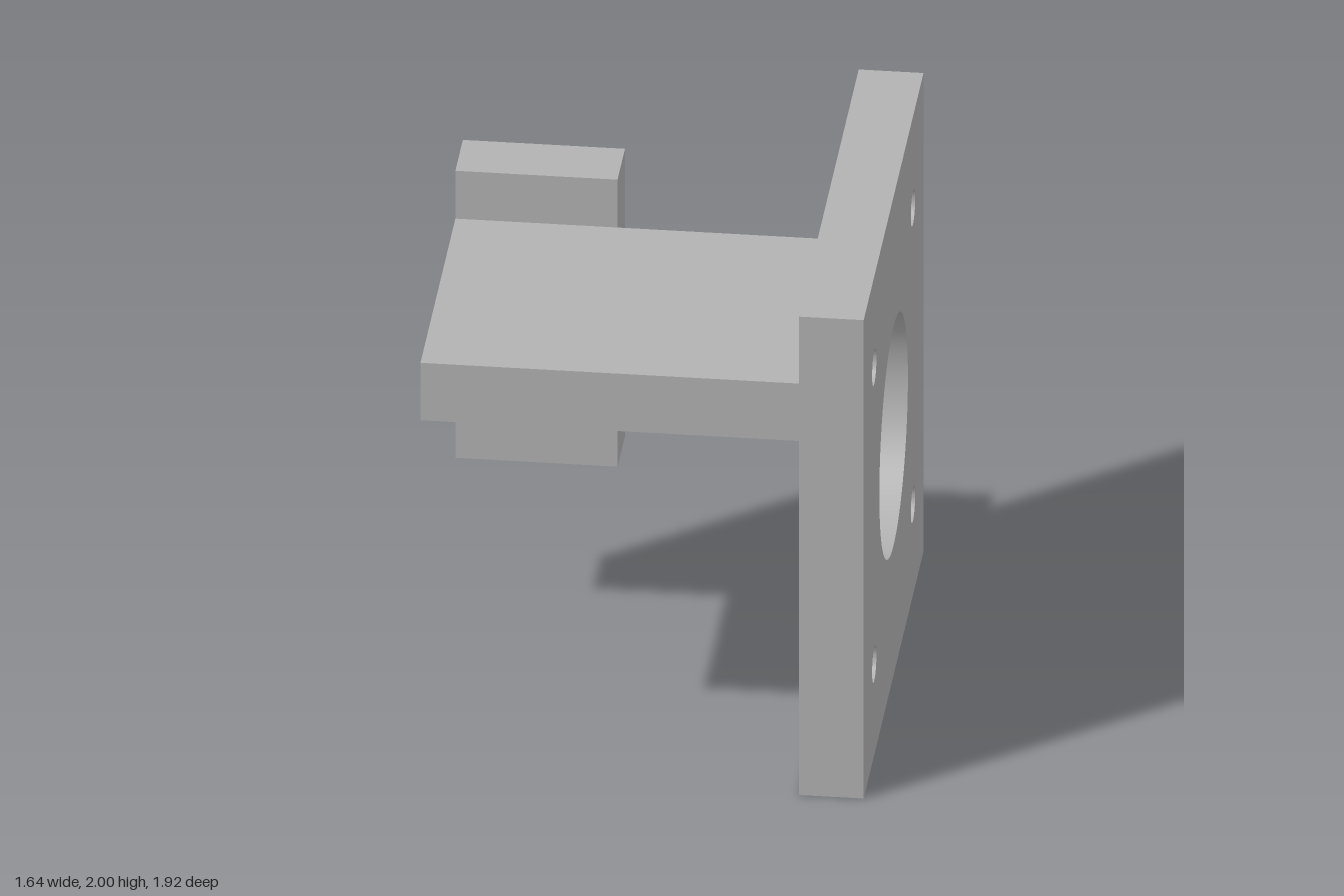
import * as THREE from 'three';
import { toCreasedNormals } from 'three/addons/utils/BufferGeometryUtils.js';

export function createModel() {
  const model = new THREE.Group();
  model.name = 'motorBracket';
  const grey = new THREE.MeshStandardMaterial({ color: 0xb2b2b2 });
  grey.name = 'grey';

  const add = (name, geometry) => {
    const mesh = new THREE.Mesh(geometry, grey);
    mesh.name = name;
    model.add(mesh);
    return mesh;
  };

  // Box given by its lower and upper corners
  const block = (name, [x0, y0, z0], [x1, y1, z1]) =>
    add(name, new THREE.BoxGeometry(x1 - x0, y1 - y0, z1 - z0))
      .position.set((x0 + x1) / 2, (y0 + y1) / 2, (z0 + z1) / 2);

  // Mounting plate with a central bore and four bolt holes
  const plate = new THREE.Shape();
  plate.moveTo(-0.96, -1).lineTo(0.96, -1).lineTo(0.96, 1).lineTo(-0.96, 1).closePath();
  const drill = (u, v, r) =>
    plate.holes.push(new THREE.Path().absarc(u, v, r, 0, Math.PI * 2, true));
  drill(0, 0, 0.458);
  for (const u of [-0.62, 0.62]) for (const v of [-0.62, 0.62]) drill(u, v, 0.07);

  const plateGeometry = new THREE.ExtrudeGeometry(plate, {
    depth: 0.24, bevelEnabled: false, curveSegments: 32,
  });
  plateGeometry.rotateY(Math.PI / 2);
  add('mountingPlate', toCreasedNormals(plateGeometry, 0.5)).position.set(0.58, 1, 0);

  // Horizontal shelf and the upright tab behind its far end
  block('shelf', [-0.82, 1.48, -0.16], [0.58, 1.72, 0.96]);
  block('uprightTab', [-0.82, 0.72, -0.4], [-0.22, 1.92, -0.16]);

  return model;
}
